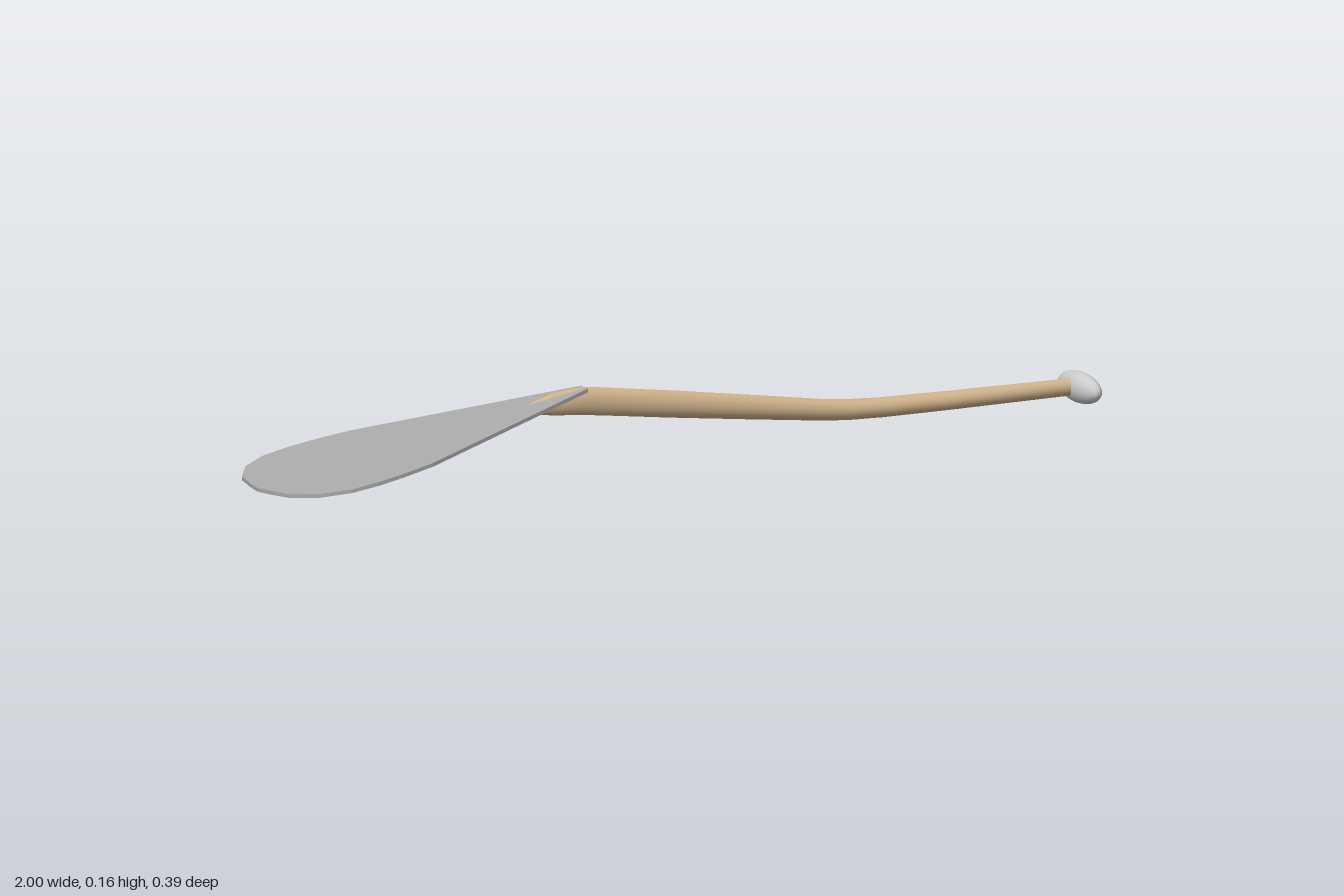
import * as THREE from 'three';

const paint = (color) => new THREE.MeshStandardMaterial({ color });

// Closed tube through elliptical sections: [x, centre y, half height, half width]
function loft(sections, sides) {
  const positions = [], index = [];
  for (const [x, y, ry, rz] of sections) {
    for (let i = 0; i < sides; i++) {
      const a = (i / sides) * Math.PI * 2;
      positions.push(x, y + Math.cos(a) * ry, Math.sin(a) * rz);
    }
  }
  for (let s = 0; s < sections.length - 1; s++) {
    for (let i = 0; i < sides; i++) {
      const j = (i + 1) % sides;
      const a = s * sides + i, b = s * sides + j;
      index.push(a, a + sides, b, b, a + sides, b + sides);
    }
  }
  const geometry = new THREE.BufferGeometry();
  geometry.setAttribute('position', new THREE.Float32BufferAttribute(positions, 3));
  geometry.setIndex(index);
  geometry.computeVertexNormals();
  return geometry;
}

export function createModel() {
  const group = new THREE.Group();
  const add = (name, geometry, material) => {
    const mesh = new THREE.Mesh(geometry, material);
    mesh.name = name;
    group.add(mesh);
    return mesh;
  };

  // Bent wooden shaft, tapering to a point where it grips the blade
  const wood = paint(0xd2b48c);
  wood.side = THREE.DoubleSide;
  add('shaft', loft([
    [-0.385, 0.130, 0.001, 0.001],
    [-0.34, 0.132, 0.013, 0.009],
    [-0.29, 0.136, 0.024, 0.014],
    [-0.22, 0.135, 0.030, 0.017],
    [-0.18, 0.130, 0.030, 0.018],
    [0.0, 0.104, 0.029, 0.020],
    [0.2, 0.075, 0.026, 0.022],
    [0.36, 0.052, 0.023, 0.022],
    [0.42, 0.046, 0.022, 0.022],
    [0.50, 0.042, 0.021, 0.022],
    [0.65, 0.039, 0.020, 0.021],
    [0.96, 0.035, 0.018, 0.017],
  ], 20), wood);

  // Thin leaf-shaped blade, sloping down to its tip
  const half = [
    [-0.215, 0.016], [-0.68, 0.178], [-0.76, 0.19], [-0.82, 0.193],
    [-0.88, 0.187], [-0.94, 0.155], [-0.98, 0.1], [-0.994, 0.04],
  ];
  const outline = [
    ...half, [-1, 0],
    ...half.slice().reverse().map(([x, z]) => [x, -z]),
  ].map(([x, z]) => new THREE.Vector2(x, z));
  const blade = new THREE.ExtrudeGeometry(new THREE.Shape(outline), { depth: 0.008, bevelEnabled: false });
  blade.rotateX(-Math.PI / 2);
  const p = blade.attributes.position;
  for (let i = 0; i < p.count; i++) p.setY(i, p.getY(i) + 0.028 + (p.getX(i) + 1) * 0.163);
  blade.computeVertexNormals();
  add('blade', blade, paint(0xaaaaaa));

  // Flattened oval grip across the end of the shaft
  const grip = add('grip', new THREE.SphereGeometry(1, 24, 16), paint(0xeeeeee));
  grip.scale.set(0.027, 0.033, 0.08);
  grip.position.set(0.973, 0.034, 0.007);

  return group;
}
